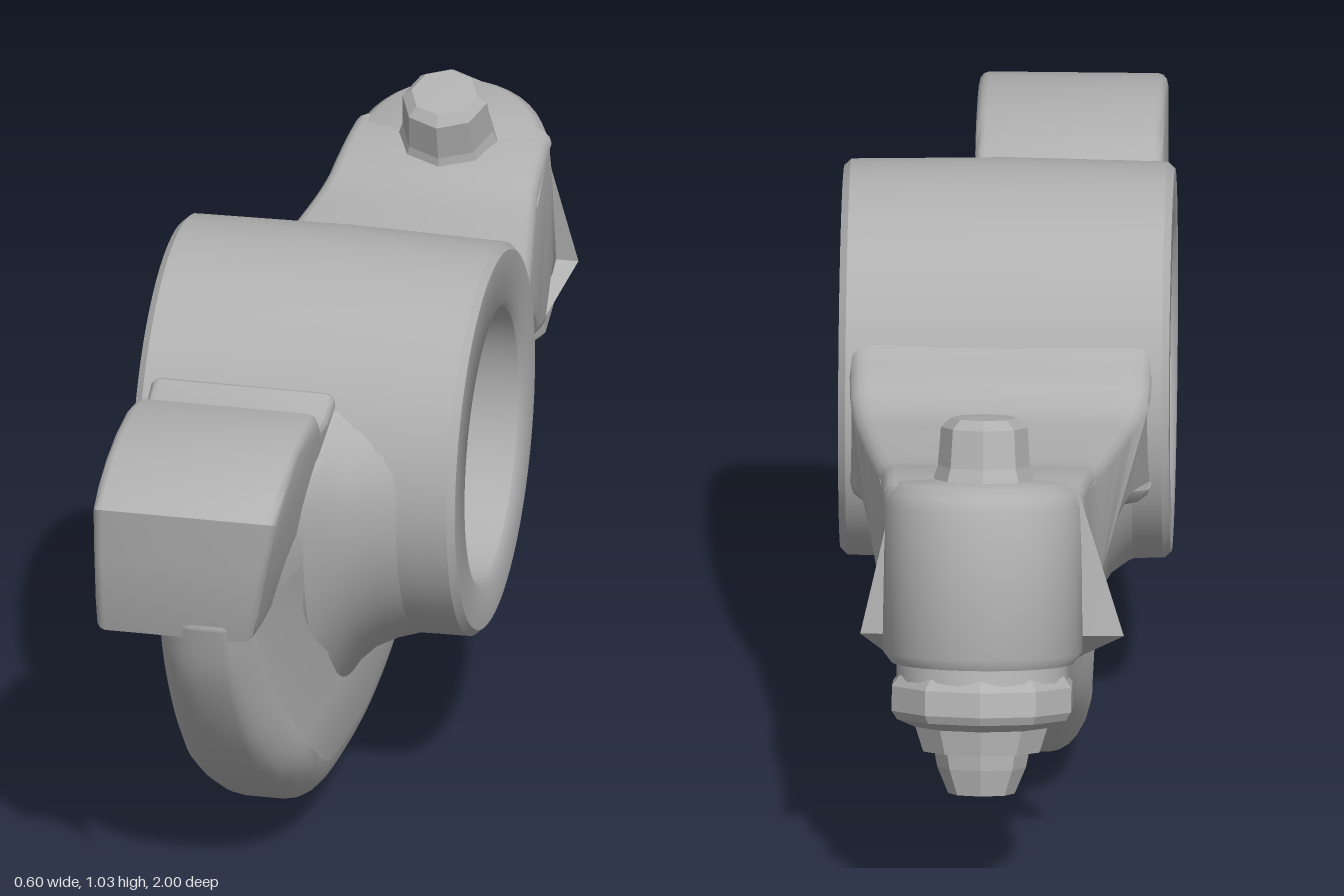
import * as THREE from 'three';
import { toCreasedNormals } from 'three/addons/utils/BufferGeometryUtils.js';

const castMetal = new THREE.MeshStandardMaterial({ color: 0xb0b0b0 });
castMetal.name = 'cast metal';

const HUB_Y = 0.664, HUB_Z = 0.178;
const { smoothstep, lerp, clamp } = THREE.MathUtils;
const vec = (pts) => pts.map(([a, b]) => new THREE.Vector2(a, b));

function part(name, geometry, crease = 0.6) {
  const mesh = new THREE.Mesh(toCreasedNormals(geometry, crease), castMetal);
  mesh.name = name;
  return mesh;
}

// Move every vertex by a rule
function warp(geometry, rule) {
  const p = geometry.attributes.position;
  const v = new THREE.Vector3();
  for (let i = 0; i < p.count; i++) {
    rule(v.fromBufferAttribute(p, i));
    p.setXYZ(i, v.x, v.y, v.z);
  }
  return geometry;
}

// Piecewise linear value along increasing [t, value] rows
function track(rows, t) {
  const i = clamp(rows.findIndex((r) => r[0] > t), 1, rows.length - 1);
  const [a, b] = [rows[i - 1], rows[i]];
  return lerp(a[1], b[1], clamp((t - a[0]) / (b[0] - a[0]), 0, 1));
}

// Extrude a (z, y) side outline across x, centred on x = 0
function sideExtrude(shape, width, bevelSize, bevelThickness, bevelSegments = 3) {
  const depth = width - 2 * bevelThickness;
  return new THREE.ExtrudeGeometry(shape, {
    depth, bevelSize, bevelThickness, bevelSegments, bevelOffset: -bevelSize, curveSegments: 8,
  }).translate(0, 0, -depth / 2).rotateY(-Math.PI / 2);
}

// Lathe of (radius, x) points around the hub axis
function hubLathe(pts) {
  return new THREE.LatheGeometry(vec(pts), 64).rotateZ(-Math.PI / 2).translate(0, HUB_Y, HUB_Z);
}

// Concave strip along z, from a low inner edge on the web to a high outer edge
function coveStrip(name, side, z0, z1, inner, outer) {
  const g = new THREE.PlaneGeometry(1, 1, 24, 8);
  warp(g, (v) => {
    const u = 0.5 - side * v.x, t = v.y + 0.5;
    const z = lerp(z0, z1, u);
    const [xi, yi] = inner(z), [xo, yo] = outer(z);
    v.set(lerp(xi, xo, t * t), lerp(yi, yo, 1 - (1 - t) ** 2), z);
  });
  return part(name, g, 1);
}

// Pivot ring with softened rims; the bore sits slightly low
function makeHub() {
  const g = hubLathe([
    [0.262, -0.298], [0.345, -0.298], [0.357, -0.285], [0.362, 0], [0.357, 0.285],
    [0.345, 0.298], [0.262, 0.298], [0.25, 0.288], [0.25, -0.288], [0.262, -0.298],
  ]);
  warp(g, (v) => {
    if (Math.hypot(v.y - HUB_Y, v.z - HUB_Z) < 0.3) v.y -= 0.01;
  });
  return part('pivotHub', g, 0.7);
}

// Cast fillet joining hub and web, fading out higher at the front than at the back
function makeFillet() {
  const g = hubLathe([
    [0.34, -0.27], [0.363, -0.22], [0.385, -0.19], [0.42, -0.168], [0.46, -0.155],
    [0.47, 0.045], [0.43, 0.07], [0.395, 0.105], [0.372, 0.15], [0.34, 0.25],
  ]);
  warp(g, (v) => {
    const y = v.y - HUB_Y, z = v.z - HUB_Z, r = Math.hypot(y, z);
    const fade = 1 - (z > 0 ? smoothstep(y / r, 0.1, 0.7) : smoothstep(y / r, -0.3, 0.2));
    const k = (0.335 + (r - 0.335) * fade) / r;
    v.y = HUB_Y + y * k;
    v.z = HUB_Z + z * k;
  });
  return part('hubFillet', g, 0.9);
}

// Curved belly web under the hub, drafted narrower toward the bottom
const webCentre = (z) => lerp(-0.05, 0.01, smoothstep(-z, 0.4, 0.75));
function makeWeb() {
  const s = new THREE.Shape();
  s.moveTo(HUB_Z - 0.262, HUB_Y);
  s.absarc(HUB_Z, HUB_Y, 0.262, Math.PI, 2 * Math.PI, false);
  s.lineTo(0.92, 0.75);
  s.lineTo(0.975, 0.62);
  s.splineThru(vec([
    [0.94, 0.51], [0.88, 0.4], [0.8, 0.29], [0.7, 0.19], [0.55, 0.09], [0.4, 0.035], [0.2, 0.006],
    [0.05, 0], [-0.1, 0.02], [-0.2, 0.06], [-0.32, 0.14], [-0.45, 0.26], [-0.6, 0.43], [-0.7, 0.47],
  ]));
  s.lineTo(-0.72, 0.72);
  const g = sideExtrude(s, 0.23, 0.075, 0.075, 5);
  warp(g, (v) => {
    v.x *= lerp(0.78, 1, smoothstep(v.y, 0, 0.26));
    if (v.x > 0) v.x *= 1 - 0.6 * smoothstep(v.z, 0.6, 0.97);
    v.x += webCentre(v.z);
  });
  return part('bellyWeb', g, 0.8);
}

// Front contact pad with its neck into the hub
function makePad() {
  const s = new THREE.Shape(vec([
    [0.42, 0.85], [0.49, 0.875], [0.54, 0.853], [0.59, 0.855], [0.61, 0.875], [0.63, 0.9],
    [0.7, 0.915], [0.8, 0.915], [0.88, 0.903], [0.95, 0.88], [1, 0.85], [0.993, 0.75],
    [0.98, 0.65], [0.965, 0.595], [0.85, 0.575], [0.7, 0.565], [0.58, 0.54], [0.45, 0.52],
  ]));
  const g = sideExtrude(s, 0.34, 0.02, 0.018, 3);
  warp(g, (v) => {
    // the left flank leans in toward the web
    if (v.x > 0) v.x -= 0.2 * Math.max(0, 0.85 - v.y);
    v.x -= 0.1;
  });
  return part('contactPad', g);
}

// Cove under the pad's overhanging right side
function makePadCove() {
  return coveStrip('padCove', -1, 0.45, 0.965,
    (z) => [-0.155, track([[0.45, 0.4], [0.6, 0.46], [0.85, 0.5], [0.965, 0.57]], z)],
    (z) => [-0.262, track([[0.45, 0.57], [0.7, 0.6], [0.965, 0.63]], z)]);
}

// Arm edges by distance behind the hub axis
const armRight = [[0.1, -0.27], [0.2, -0.265], [0.3, -0.235], [0.45, -0.205], [0.6, -0.175], [0.8, -0.155]];
const armLeft = [[0.1, 0.28], [0.2, 0.275], [0.3, 0.26], [0.45, 0.235], [0.6, 0.21], [0.8, 0.2]];

// Tapered rear arm between hub and boss
function makeArm() {
  const s = new THREE.Shape();
  s.moveTo(-0.1, 0.6);
  s.lineTo(-0.1, 0.84);
  s.splineThru(vec([
    [-0.15, 0.825], [-0.2, 0.775], [-0.27, 0.755], [-0.36, 0.76], [-0.45, 0.77],
    [-0.55, 0.785], [-0.63, 0.81], [-0.7, 0.827], [-0.76, 0.835],
  ]));
  s.lineTo(-0.8, 0.56);
  s.lineTo(-0.7, 0.47);
  s.splineThru(vec([[-0.62, 0.49], [-0.53, 0.55], [-0.43, 0.59], [-0.33, 0.6], [-0.22, 0.56], [-0.14, 0.55]]));
  const g = sideExtrude(s, 2, 0.025, 0.12);
  warp(g, (v) => {
    v.x = lerp(track(armRight, -v.z), track(armLeft, -v.z), (v.x + 1) / 2);
  });
  return part('rearArm', g, 0.7);
}

// Cove blending the arm's underside into the web, one for each side
function makeArmCove(side) {
  const edge = side > 0 ? armLeft : armRight;
  const low = [[0, 0.3], [0.1, 0.34], [0.2, 0.41], [0.3, 0.47], [0.4, 0.5], [0.5, 0.5], [0.6, 0.48], [0.74, 0.48]];
  const high = [[0, 0.6], [0.22, 0.61], [0.33, 0.635], [0.43, 0.625], [0.53, 0.585], [0.62, 0.54], [0.74, 0.53]];
  return coveStrip('armCove', side, -0.74, -0.03,
    (z) => [webCentre(z) + side * 0.108, track(low, -z)],
    (z) => [track(edge, -z) - side * 0.004, track(high, -z)]);
}

// Tilted boss carrying the adjusting screw and lock nut
function makeAdjuster() {
  const group = new THREE.Group();
  group.name = 'adjuster';
  const turned = (name, pts, sides, crease) =>
    group.add(part(name, new THREE.LatheGeometry(vec(pts), sides), crease));
  turned('screwBoss', [[0, -0.01], [0.165, -0.01], [0.18, 0.01], [0.18, 0.275], [0.174, 0.3],
    [0.155, 0.318], [0, 0.325]], 40, 0.8);
  turned('washer', [[0, -0.05], [0.155, -0.05], [0.155, 0.01]], 24, 0.6);
  turned('lockNut', [[0, -0.17], [0.11, -0.17], [0.125, -0.125], [0.16, -0.11], [0.17, -0.095],
    [0.17, -0.05], [0.155, -0.03], [0, -0.03]], 10, 0.1);
  turned('screwTip', [[0, -0.252], [0.06, -0.248], [0.08, -0.2], [0.09, -0.15]], 8, 0.1);
  turned('screwHead', [[0.095, 0.31], [0.083, 0.345], [0.078, 0.415], [0.06, 0.432], [0, 0.436]], 8, 0.1);
  group.position.set(0.022, 0.523, -0.812);
  group.rotation.x = 0.322;
  return group;
}

export function createModel() {
  const model = new THREE.Group();
  model.name = 'rockerArm';
  model.add(makeHub(), makeFillet(), makeWeb(), makePad(), makePadCove(), makeArm(),
    makeArmCove(1), makeArmCove(-1), makeAdjuster());
  return model;
}
